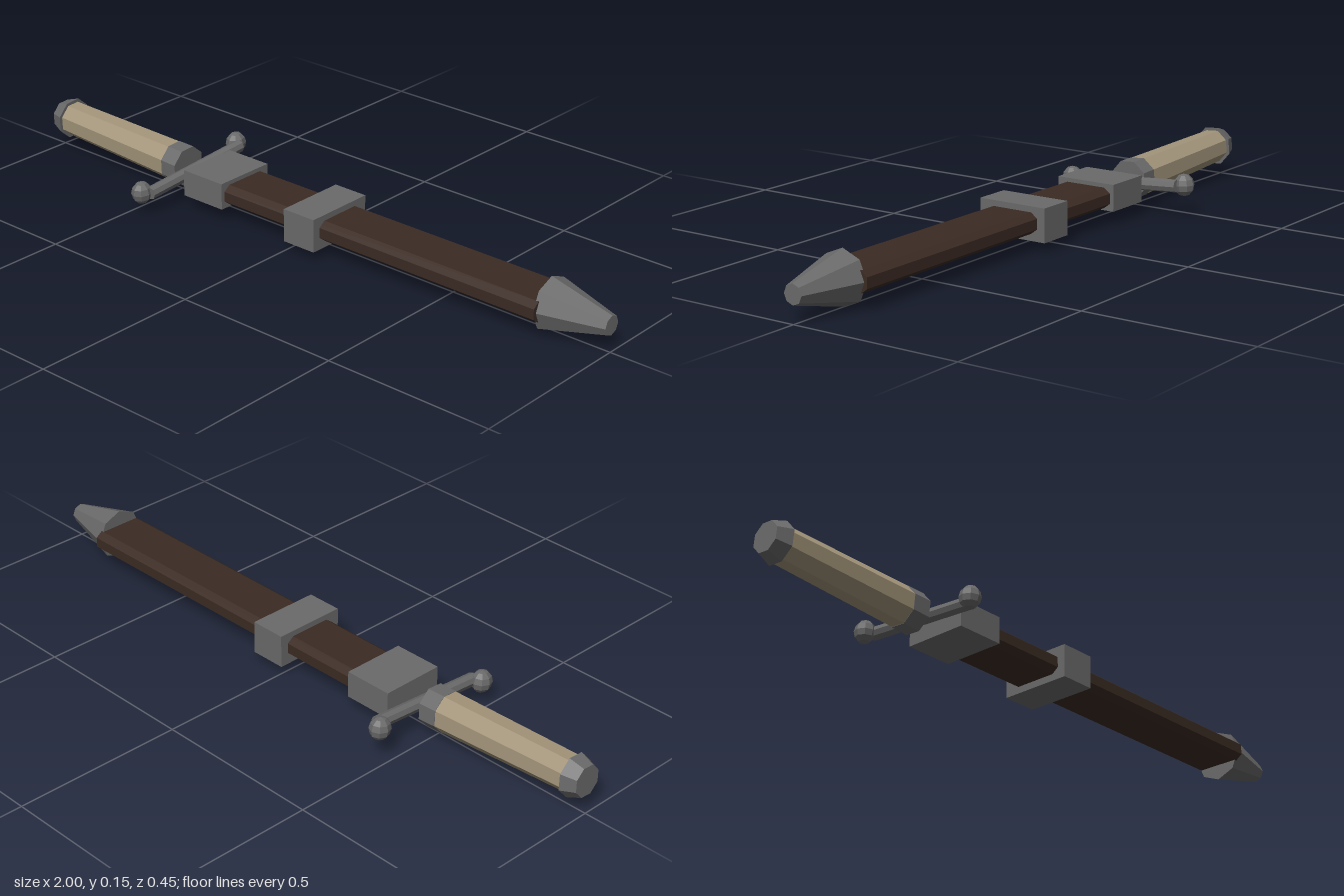
import * as THREE from 'three';

const material = (color) => new THREE.MeshStandardMaterial({ color, flatShading: true });
const steel = material(0x6a6a6a);
const bone = material(0xa3957a);
const leather = material(0x3b2b23);
const MID_Y = 0.077;

export function createModel() {
  const model = new THREE.Group();
  model.name = 'sheathedDagger';

  const add = (parent, name, geometry, mat, x = 0, y = 0, z = 0) => {
    const mesh = new THREE.Mesh(geometry, mat);
    mesh.name = name;
    mesh.position.set(x, y, z);
    parent.add(mesh);
    return mesh;
  };

  // Eight-sided tapered bar lying along x, with radius r0 at x0 and r1 at x1
  const taper = (x0, x1, r0, r1, turn = 0) =>
    new THREE.CylinderGeometry(r1, r0, x1 - x0, 8)
      .rotateY(turn).rotateZ(-Math.PI / 2).translate((x0 + x1) / 2, 0, 0);

  // Scabbard body: a flat bar with chamfered long edges
  const w = 0.083, h = 0.03, cz = 0.02, cy = 0.015;
  const section = new THREE.Shape([
    [w, -h + cy], [w, h - cy], [w - cz, h], [-w + cz, h],
    [-w, h - cy], [-w, -h + cy], [-w + cz, -h], [w - cz, -h],
  ].map(([a, b]) => new THREE.Vector2(a, b)));
  const body = new THREE.ExtrudeGeometry(section, { depth: 1.2, bevelEnabled: false });
  body.rotateY(Math.PI / 2);
  add(model, 'scabbardBody', body, leather, -0.38, MID_Y);

  // Metal fittings on the scabbard
  add(model, 'scabbardThroat', new THREE.BoxGeometry(0.147, 0.078, 0.19), steel, -0.325, 0.08);
  add(model, 'scabbardBand', new THREE.BoxGeometry(0.108, 0.097, 0.216), steel, 0.049, 0.0755);
  add(model, 'scabbardTip', taper(0.812, 1, 0.076, 0.028), steel, 0, MID_Y);

  // Grip, ferrule and pommel share a slight droop towards the guard
  const handle = new THREE.Group();
  handle.name = 'handle';
  handle.position.set(-0.475, 0.078, 0);
  handle.rotation.set(0.07, 0, -0.037);
  model.add(handle);
  const flat = Math.PI / 8;
  add(handle, 'grip', taper(-0.49, -0.05, 0.051, 0.058, flat), bone);
  add(handle, 'ferrule', taper(-0.055, 0, 0.059, 0.06, flat), steel);
  add(handle, 'pommel', taper(-0.523, -0.48, 0.045, 0.061, flat), steel);

  // Crossguard: a thin rod ending in faceted balls, twisted slightly about x
  const guard = new THREE.Group();
  guard.name = 'crossguard';
  guard.position.set(-0.446, MID_Y, 0);
  guard.rotation.x = 0.073;
  model.add(guard);
  const rod = new THREE.CylinderGeometry(0.019, 0.019, 0.37, 8).rotateX(Math.PI / 2);
  add(guard, 'guardRod', rod, steel);
  for (const side of [-1, 1]) {
    const ball = new THREE.SphereGeometry(0.033, 8, 6);
    ball.scale(0.88, 1, 0.96);
    add(guard, side > 0 ? 'frontGuardBall' : 'backGuardBall', ball, steel, -0.023, 0, side * 0.195);
  }
  return model;
}
